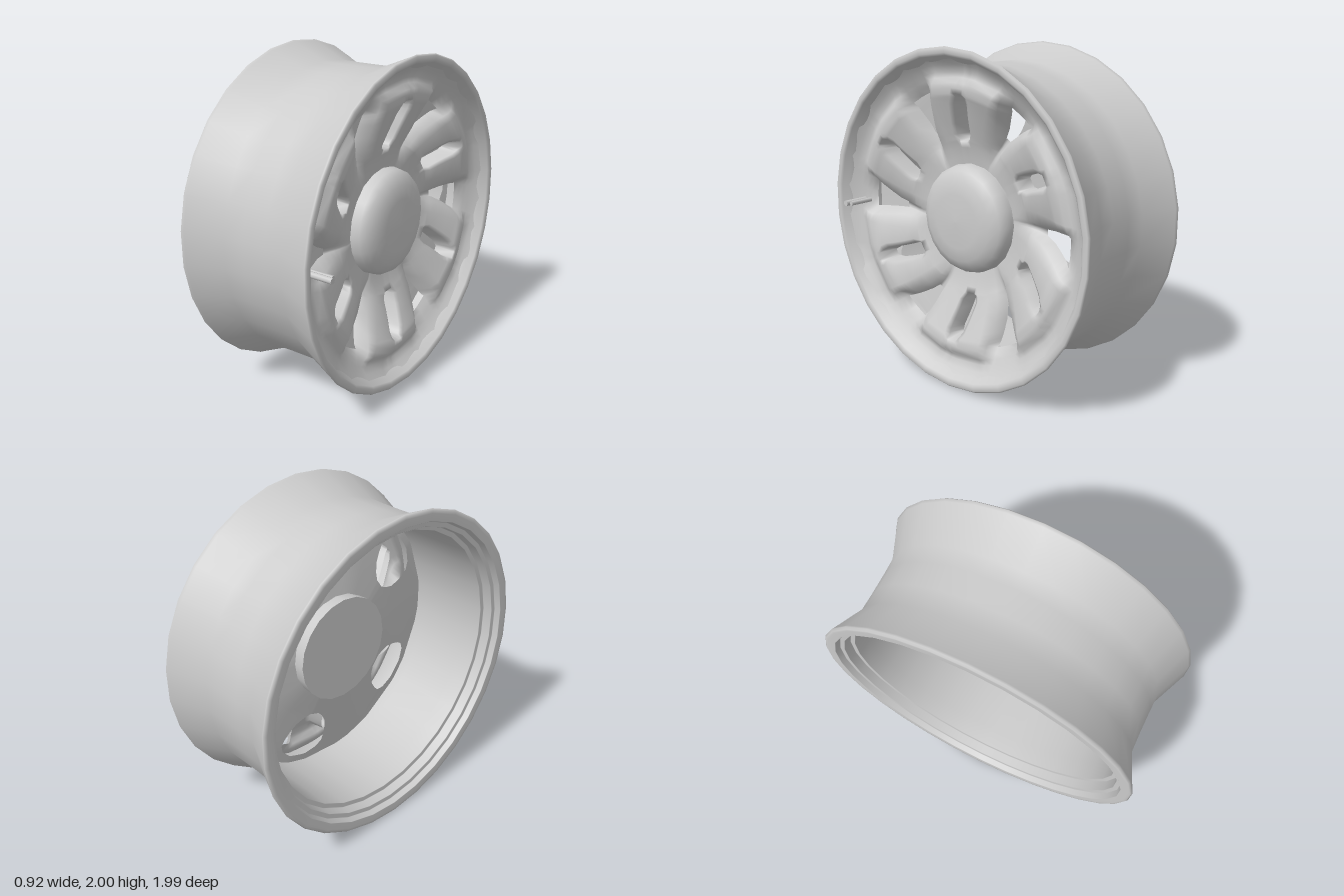
import * as THREE from 'three';

const material = new THREE.MeshStandardMaterial({ color: 0xcccccc, side: THREE.DoubleSide });
const DEG = Math.PI / 180;

function add(group, name, geometry) {
  const mesh = new THREE.Mesh(geometry, material);
  mesh.name = name;
  group.add(mesh);
  return mesh;
}

// Revolve [x, radius] pairs around the wheel axle
function revolve(profile, sides) {
  const points = profile.map(([x, r]) => new THREE.Vector2(r, x));
  return new THREE.LatheGeometry(points, sides).rotateZ(-Math.PI / 2);
}

// Piecewise linear lookup in [position, value] pairs
function ramp(table, t) {
  for (let i = 1; i < table.length; i++) {
    const [a, va] = table[i - 1], [b, vb] = table[i];
    if (t <= b) return THREE.MathUtils.lerp(va, vb, Math.max(0, (t - a) / (b - a)));
  }
  return table[table.length - 1][1];
}

// Ring of repeated sectors: section(r) lists [angle in degrees, x], isHole(r0, r1, column) leaves cells open
function polarGrid(rows, sectors, startAngle, section, isHole) {
  const positions = [], index = [];
  const columns = section(rows[0]).length, count = columns * sectors;
  for (const r of rows) {
    for (let s = 0; s < sectors; s++) {
      for (const [a, x] of section(r)) {
        const angle = (startAngle + s * 360 / sectors + a) * DEG;
        positions.push(x, r * Math.sin(angle), -r * Math.cos(angle));
      }
    }
  }
  for (let i = 0; i < rows.length - 1; i++) {
    for (let j = 0; j < count; j++) {
      if (isHole(rows[i], rows[i + 1], j % columns)) continue;
      const k = (j + 1) % count;
      const a = i * count + j, b = a + count, d = i * count + k, e = d + count;
      index.push(a, b, e, a, e, d);
    }
  }
  const geometry = new THREE.BufferGeometry();
  geometry.setAttribute('position', new THREE.Float32BufferAttribute(positions, 3));
  geometry.setIndex(index);
  geometry.computeVertexNormals();
  return geometry;
}

// Front face: six raised swirling spokes with slots, and openings in the gaps between them
function spokedFace() {
  const rows = [0.3, 0.36, 0.42, 0.455, 0.47, 0.5, 0.56, 0.62, 0.68, 0.705, 0.72, 0.74, 0.77, 0.8, 0.83, 0.86, 0.9, 0.935];
  const top = [[0.3, 0.19], [0.4, 0.21], [0.5, 0.25], [0.6, 0.29], [0.74, 0.345], [0.8, 0.345], [0.83, 0.32], [0.86, 0.315], [0.9, 0.335], [0.935, 0.365]];
  const floor = [[0.3, 0.19], [0.36, 0.195], [0.5, 0.18], [0.6, 0.18], [0.74, 0.23], [0.8, 0.275], [0.86, 0.31], [0.9, 0.335], [0.935, 0.365]];
  const slotWidth = [[0.455, 0.022], [0.5, 0.042], [0.68, 0.036], [0.72, 0.02], [0.75, 0.02]];
  const gapWidth = [[0.5, 0.6], [0.56, 0.8], [0.77, 5.5], [0.84, 5]];

  const section = (r) => {
    const high = ramp(top, r), low = ramp(floor, r);
    const slot = ramp(slotWidth, r) / r / DEG;
    const gap = ramp(gapWidth, r);
    const slotted = r > 0.46 && r < 0.73;
    const half = [
      [slot, slotted ? high - 0.12 : high],
      [slot + 1.2, slotted ? high - 0.015 : high],
      [slot + 3.5, high],
      [17, high - (high - low) * 0.08],
      [25.5 - gap, high - (high - low) * 0.35],
      [29 - gap, low],
      [30, low],
    ];
    const mirrored = half.slice(0, 6).reverse().map(([a, x]) => [-a, x]);
    return [...mirrored, ...half].map(([a, x]) => [a - (r - 0.6) * 23, x]);
  };
  const isHole = (r0, r1, c) =>
    (c === 5 && r0 > 0.46 && r1 < 0.73) || (c >= 11 && r0 > 0.55 && r1 < 0.78);
  return polarGrid(rows, 6, 90, section, isHole);
}

// Inner shell behind the spokes with five large lens-shaped openings
function backShell() {
  const rows = [0.32, 0.4, 0.48, 0.51, 0.56, 0.62, 0.68, 0.73, 0.77, 0.8, 0.855];
  const holeWidth = [[0.48, 4], [0.51, 9], [0.56, 13], [0.65, 15], [0.73, 14], [0.77, 11], [0.8, 5]];
  const section = (r) => {
    const w = ramp(holeWidth, r);
    const x = THREE.MathUtils.mapLinear(r, 0.32, 0.855, 0.07, 0.16);
    return [-36, -27, -w, -w / 2, 0, w / 2, w, 27].map((a) => [a, x]);
  };
  const isHole = (r0, r1, c) => c >= 2 && c <= 5 && r0 > 0.47 && r1 < 0.81;
  return polarGrid(rows, 5, 74, section, isHole);
}

export function createModel() {
  const wheel = new THREE.Group();
  wheel.name = 'wheel';
  const body = new THREE.Group();
  body.name = 'wheelBody';
  body.position.y = 1;
  wheel.add(body);

  // Barrel with waisted outside, rolled lips and stepped back opening
  add(body, 'rimBarrel', revolve([
    [-0.46, 0.975], [-0.46, 0.99], [-0.45, 1], [-0.435, 0.992],
    [-0.23, 0.9], [-0.1, 0.897], [0.05, 0.897], [0.16, 0.9],
    [0.385, 0.992], [0.4, 1], [0.41, 0.99], [0.41, 0.965],
    [0.4, 0.95], [0.365, 0.933], [0.3, 0.88],
    [0.2, 0.855], [0.1, 0.85], [-0.25, 0.85], [-0.36, 0.855], [-0.362, 0.857], [-0.362, 0.883],
    [-0.364, 0.885], [-0.42, 0.89], [-0.422, 0.892], [-0.422, 0.918], [-0.424, 0.92], [-0.458, 0.93], [-0.46, 0.932], [-0.46, 0.975],
  ], 30).rotateX(6 * DEG));

  add(body, 'spokedFace', spokedFace());
  add(body, 'backShell', backShell());

  // Domed hub cap on a short drum with a flat back
  add(body, 'hubCap', revolve([
    [0.15, 0.325], [0.21, 0.325], [0.25, 0.318], [0.285, 0.295],
    [0.315, 0.24], [0.33, 0.16], [0.335, 0],
  ], 20));
  const drum = add(body, 'hubDrum', new THREE.CylinderGeometry(0.325, 0.335, 0.16, 20).rotateZ(-Math.PI / 2));
  drum.position.x = 0.08;

  // Valve stem and its small side nub
  const stem = add(body, 'valveStem', new THREE.CylinderGeometry(0.018, 0.018, 0.18, 8).rotateZ(-Math.PI / 2));
  stem.position.set(0.37, 0, 0.845);
  const nub = add(body, 'valveNub', new THREE.CylinderGeometry(0.014, 0.014, 0.16, 6).rotateZ(-Math.PI / 2));
  nub.position.set(0.36, 0, 0.815);

  return wheel;
}
